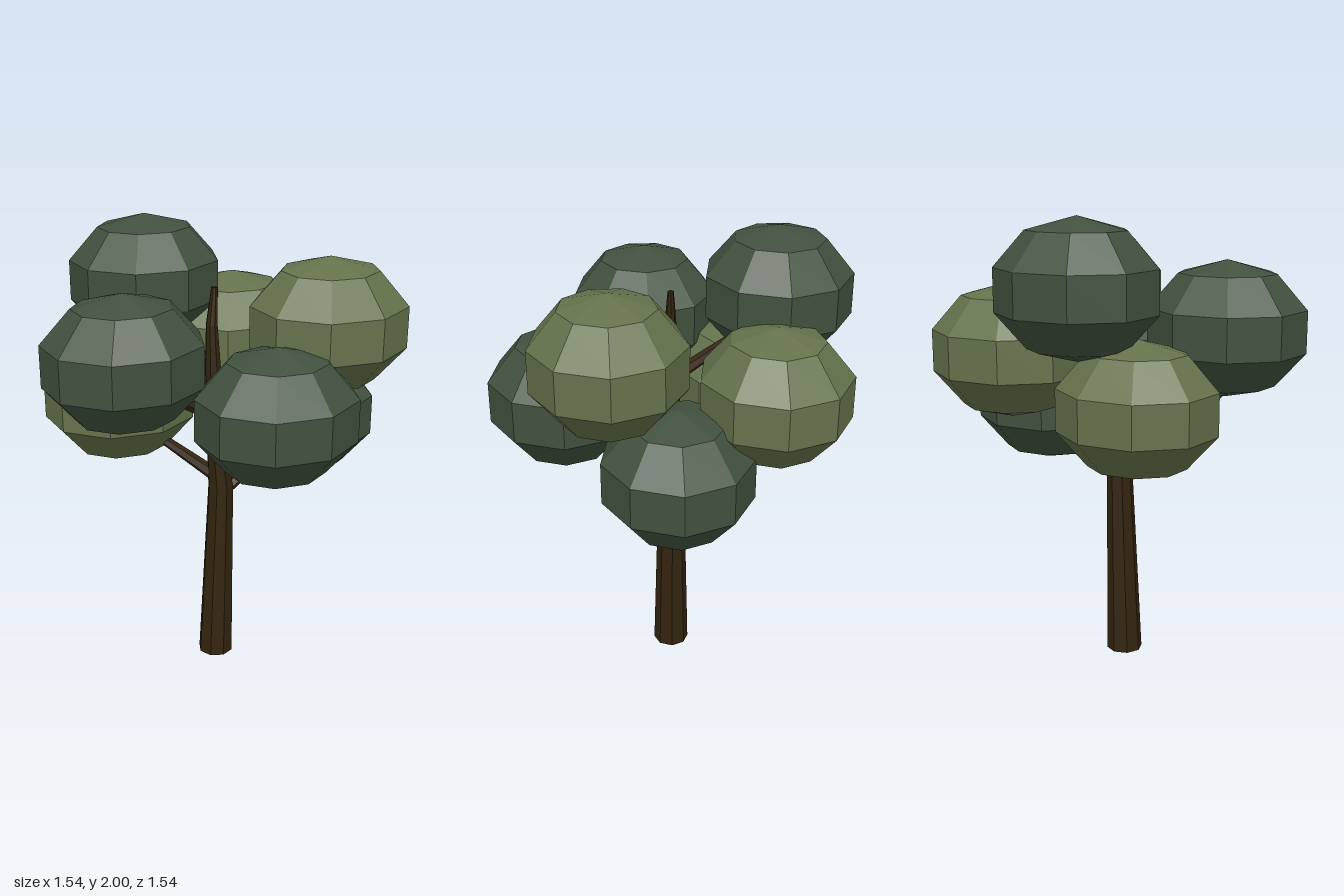
import * as THREE from 'three';

const material = (name, color) => {
  const m = new THREE.MeshStandardMaterial({ color, flatShading: true });
  m.name = name;
  return m;
};

export function createModel() {
  const tree = new THREE.Group();
  tree.name = 'tree';
  const bark = material('dark bark', 0x33240f);
  const darkLeaf = material('dark leaves', 0x42523f);
  const lightLeaf = material('light leaves', 0x65734c);

  const add = (name, geometry, mat) => {
    const mesh = new THREE.Mesh(geometry, mat);
    mesh.name = name;
    tree.add(mesh);
    return mesh;
  };

  // Trunk: tapering octagonal rings, bent slightly, as [y, x, radius]
  const rings = [
    [0, 0.007, 0.08], [0.84, 0.033, 0.058], [1.0, 0.018, 0.049],
    [1.4, -0.006, 0.036], [1.6, -0.012, 0.026], [1.76, 0, 0.013],
  ];
  const last = rings.length - 1;
  const trunk = new THREE.CylinderGeometry(1, 1, last, 8, last);
  const pos = trunk.attributes.position;
  for (let i = 0; i < pos.count; i++) {
    const [y, x, r] = rings[Math.round(pos.getY(i) + last / 2)];
    pos.setXYZ(i, x + pos.getX(i) * r, y, pos.getZ(i) * r);
  }
  trunk.computeVertexNormals();
  add('trunk', trunk, bark);

  // Leaf clusters share one squashed, nine-sided ball; vertex ring starts at +x
  const ball = new THREE.SphereGeometry(1, 9, 5, Math.PI).scale(0.357, 0.287, 0.333);
  const clusters = [
    ['left front', 0.396, 1.618, 0.272, lightLeaf],
    ['left', 0.43, 1.138, 0.005, darkLeaf],
    ['left back', 0.306, 1.425, -0.402, lightLeaf],
    ['top back', -0.104, 1.713, -0.463, darkLeaf],
    ['right back', -0.3, 1.233, -0.33, lightLeaf],
    ['right', -0.456, 1.523, 0.085, darkLeaf],
    ['front', 0.043, 1.33, 0.456, darkLeaf],
  ];
  const up = new THREE.Vector3(0, 1, 0);
  for (const [name, x, y, z, leaf] of clusters) {
    add(`${name} leaf cluster`, ball, leaf).position.set(x, y, z);

    // Branch from the trunk up into the cluster
    const from = new THREE.Vector3(0.015, y - 0.34, 0);
    const dir = new THREE.Vector3(x, y - 0.08, z).sub(from);
    const length = dir.length();
    const branch = add(`${name} branch`, new THREE.CylinderGeometry(0.014, 0.032, length, 6), bark);
    branch.position.copy(from).addScaledVector(dir, 0.5);
    branch.quaternion.setFromUnitVectors(up, dir.normalize());
  }
  return tree;
}
